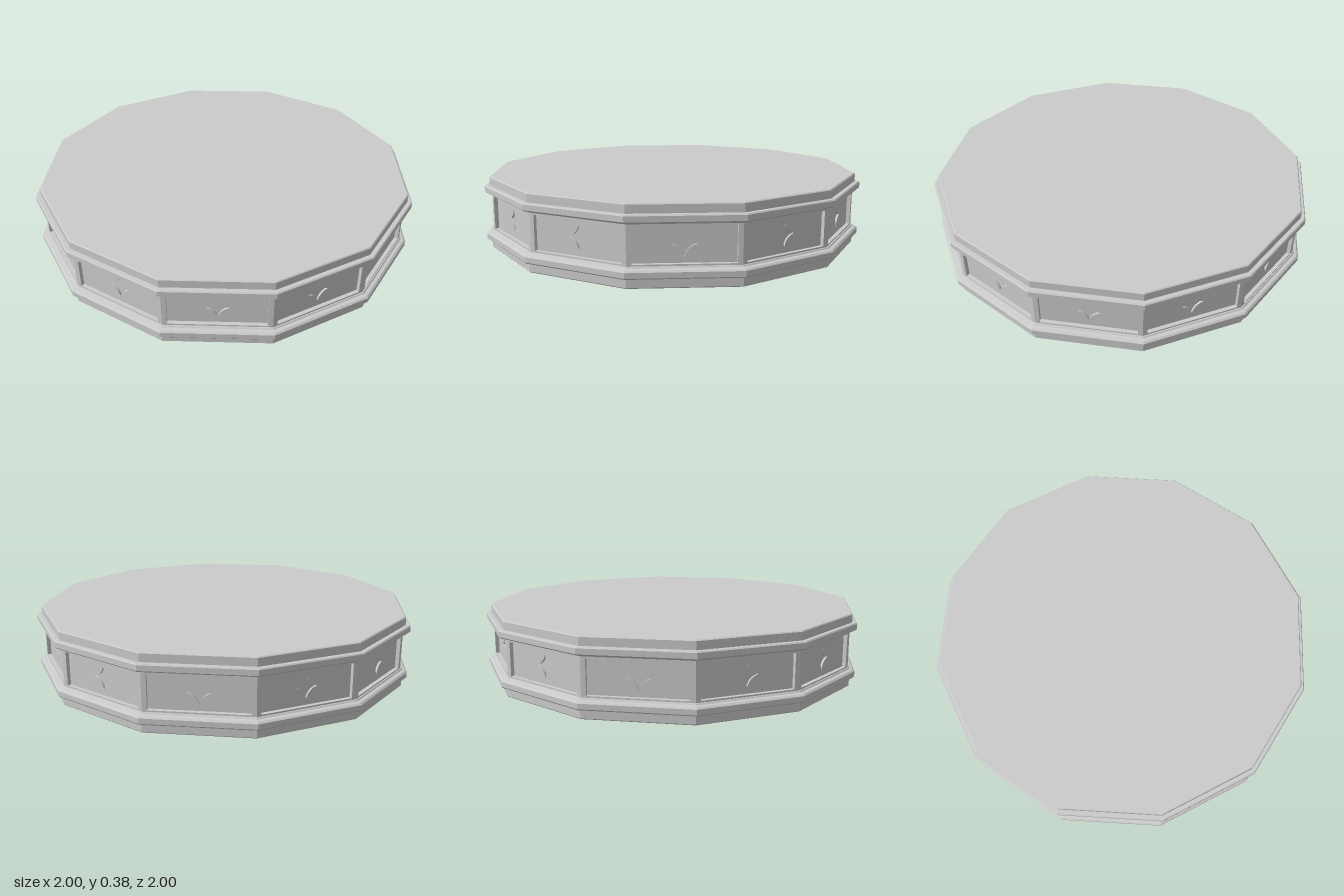
import * as THREE from 'three';

const SIDES = 12;
const STEP = (2 * Math.PI) / SIDES;
const toCorner = 1 / Math.cos(STEP / 2); // apothem -> corner radius

const FLOOR = 0.935;  // bottom of the star recess
const PANEL = 0.945;  // sunken panel face
const FRAME = 0.965;  // outer face of the frames
const MID_Y = 0.195;

const material = new THREE.MeshStandardMaterial({ color: 0xcccccc, flatShading: true });

function rectangle(PathType, halfW, halfH) {
  return new PathType([[-1, -1], [1, -1], [1, 1], [-1, 1]]
    .map(([x, y]) => new THREE.Vector2(x * halfW, y * halfH)));
}

// Four-pointed star with inward-curving sides
function starPath(r) {
  const path = new THREE.Path();
  const waist = r * 0.2;
  path.moveTo(r, 0);
  path.quadraticCurveTo(waist, waist, 0, r);
  path.quadraticCurveTo(-waist, waist, -r, 0);
  path.quadraticCurveTo(-waist, -waist, 0, -r);
  path.quadraticCurveTo(waist, -waist, r, 0);
  return path;
}

// Plate filling one side between two apothems, with one opening
function plate(inner, outer, hole) {
  const shape = rectangle(THREE.Shape, outer * Math.tan(STEP / 2), 0.11);
  shape.holes.push(hole);
  const geometry = new THREE.ExtrudeGeometry(shape, { depth: outer - inner, bevelEnabled: false, curveSegments: 6 });
  return geometry.translate(0, MID_Y, inner);
}

export function createModel() {
  const model = new THREE.Group();
  model.name = 'plinth';

  // Hollow body with base, two ledges and top, as [apothem, height]
  const profile = [
    [0, 0.37], [0.82, 0.37], [0.82, 0], [0.97, 0], [0.975, 0.005],
    [0.975, 0.05], [0.995, 0.05], [1, 0.056], [1, 0.082], [0.992, 0.09], [0.975, 0.093],
    [0.97, 0.1], [FLOOR, 0.1],
    [FLOOR, 0.292], [0.97, 0.292],
    [0.975, 0.298], [0.992, 0.3], [1, 0.307], [1, 0.334], [0.995, 0.34], [0.975, 0.34],
    [0.975, 0.38], [0.97, 0.385], [0, 0.385],
  ].map(([a, y]) => new THREE.Vector2(a * toCorner, y));
  const body = new THREE.Mesh(new THREE.LatheGeometry(profile, SIDES, STEP / 2), material);
  body.name = 'body';
  model.add(body);

  // Framed panel with a sunken star on every side
  const frameGeometry = plate(PANEL, FRAME, rectangle(THREE.Path, 0.235, 0.087));
  const panelGeometry = plate(FLOOR, PANEL, starPath(0.057));
  for (let i = 0; i < SIDES; i++) {
    const side = new THREE.Group();
    side.name = `sidePanel${i + 1}`;
    const frame = new THREE.Mesh(frameGeometry, material);
    frame.name = 'panelFrame';
    const panel = new THREE.Mesh(panelGeometry, material);
    panel.name = 'starPanel';
    side.add(frame, panel);
    side.rotation.y = i * STEP;
    model.add(side);
  }
  return model;
}
